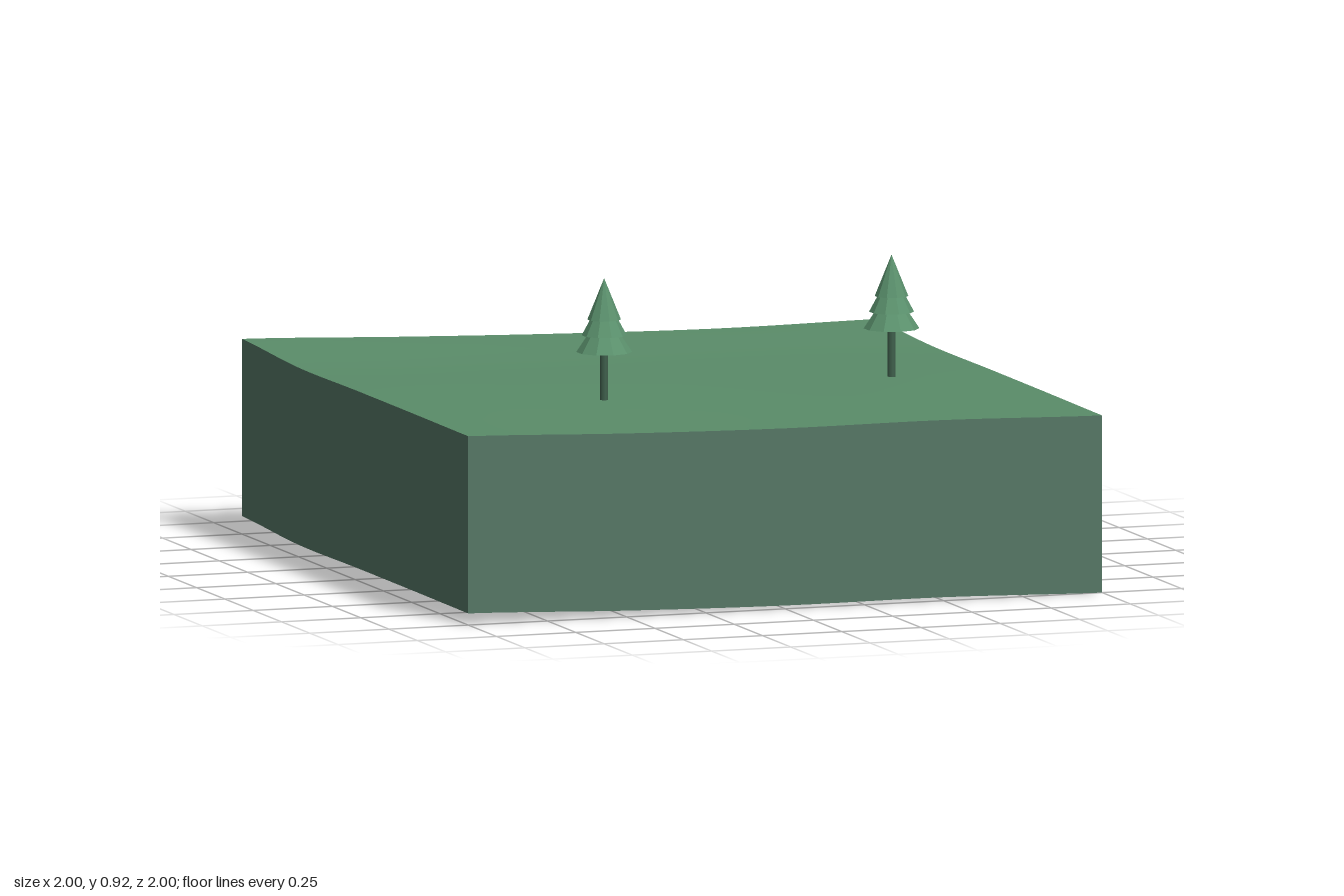
import * as THREE from 'three';

const DEPTH = 0.532; // skirt height below the surface
const SEGS = 24;

// Edge heights sampled evenly from -1 to 1
const edge = (...ys) => {
  const curve = new THREE.SplineCurve(ys.map((y, i) => new THREE.Vector2(i, y)));
  return (t) => curve.getPoint(t).y;
};
const front = edge(0.569, 0.553, 0.544, 0.5445, 0.534);
const back = edge(0.588, 0.570, 0.555, 0.546, 0.550);
const left = edge(0.588, 0.570, 0.571, 0.5705, 0.569); // x = -1, back to front
const right = edge(0.550, 0.537, 0.537, 0.536, 0.534); // x = +1, back to front

// Ground height: a patch blended between the four edges, with a slight swell
function groundHeight(x, z) {
  const u = THREE.MathUtils.clamp((x + 1) / 2, 0, 1);
  const v = THREE.MathUtils.clamp((z + 1) / 2, 0, 1);
  const mix = THREE.MathUtils.lerp;
  const corners = mix(mix(back(0), back(1), u), mix(front(0), front(1), u), v);
  return mix(back(u), front(u), v) + mix(left(v), right(v), u) - corners
    + 0.006 * Math.sin(Math.PI * u) * Math.sin(Math.PI * v);
}

export function createModel() {
  const model = new THREE.Group();
  model.name = 'terrainTile';

  const material = (name, color, extra = {}) => {
    const m = new THREE.MeshStandardMaterial({ color, ...extra });
    m.name = name;
    return m;
  };
  const grass = material('grass green', 0x5a8c69, { side: THREE.DoubleSide });
  const earth = material('grey green', 0x567766, { side: THREE.DoubleSide });
  const needles = material('needle green', 0x5b916d, { flatShading: true });
  const bark = material('dark green bark', 0x40604d);

  const add = (parent, name, geometry, mat) => {
    const mesh = new THREE.Mesh(geometry, mat);
    mesh.name = name;
    parent.add(mesh);
    return mesh;
  };

  // Rolling ground surface
  const ground = new THREE.PlaneGeometry(2, 2, SEGS, SEGS).rotateX(-Math.PI / 2);
  const gp = ground.attributes.position;
  for (let i = 0; i < gp.count; i++) gp.setY(i, groundHeight(gp.getX(i), gp.getZ(i)));
  ground.computeVertexNormals();
  add(model, 'ground', ground, grass);

  // Four side walls that follow the ground, open underneath
  ['frontWall', 'leftWall', 'backWall', 'rightWall'].forEach((name, k) => {
    const wall = new THREE.PlaneGeometry(2, 1, SEGS, 1);
    wall.translate(0, 0, 1).rotateY(k * Math.PI / 2);
    const p = wall.attributes.position;
    for (let i = 0; i < p.count; i++) {
      const top = groundHeight(p.getX(i), p.getZ(i));
      p.setY(i, p.getY(i) > 0 ? top : top - DEPTH);
    }
    add(model, name, wall, earth);
  });

  // Conifers: a thin trunk and three stacked cones
  const tiers = [[0.083, 0.143], [0.067, 0.193], [0.05, 0.24]]; // radius, base height
  const coneHeight = 0.124;
  [[-0.333, 0.556, 0.333], [0.663, 0.544, 0.083]].forEach(([x, y, z], n) => {
    const tree = new THREE.Group();
    tree.name = `tree${n + 1}`;
    tree.position.set(x, y, z);
    add(tree, 'trunk', new THREE.CylinderGeometry(0.0125, 0.0125, 0.17, 8), bark).position.y = 0.08;
    tiers.forEach(([r, base], i) => {
      add(tree, `foliageTier${i + 1}`, new THREE.ConeGeometry(r, coneHeight, 10), needles)
        .position.y = base + coneHeight / 2;
    });
    model.add(tree);
  });

  return model;
}
